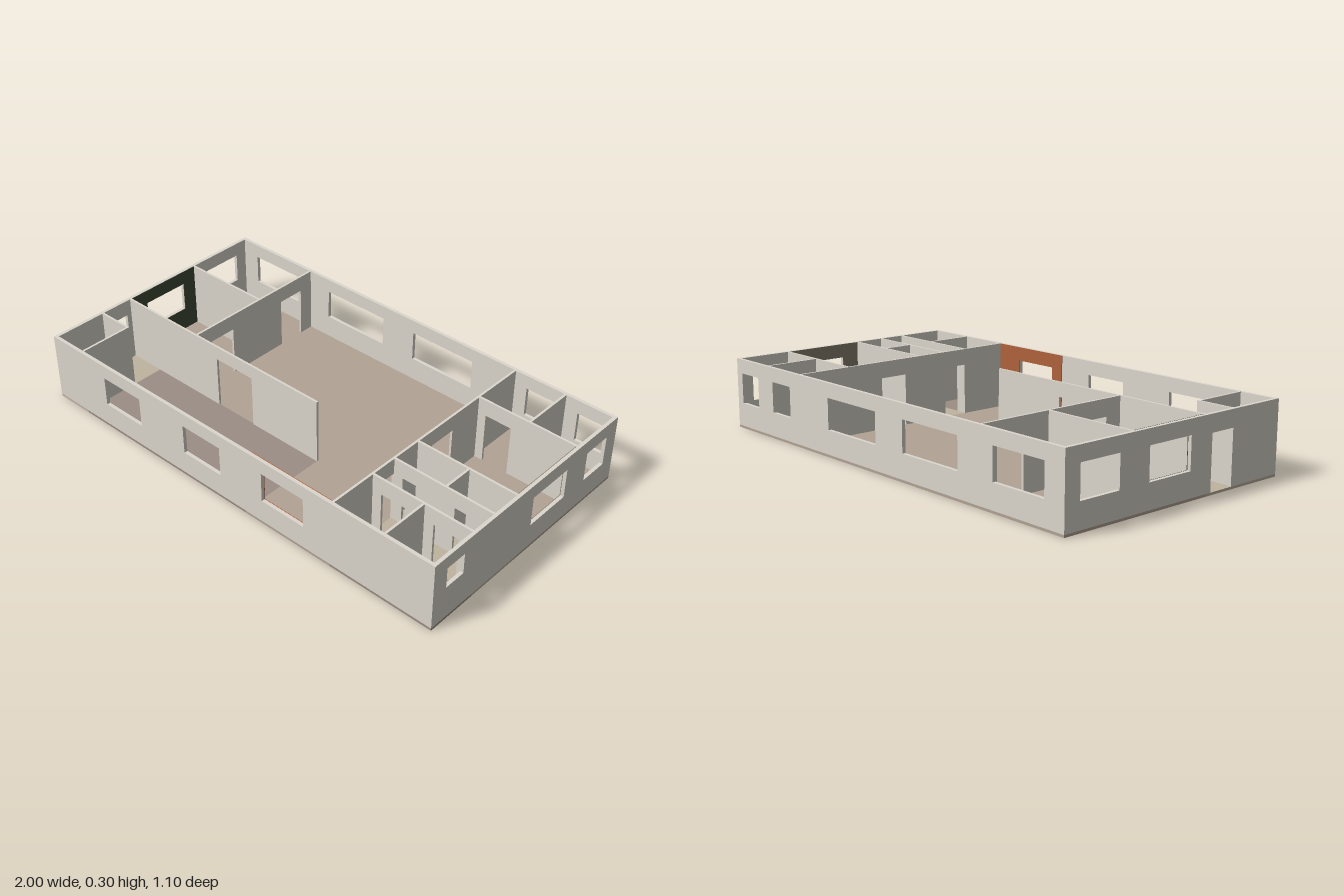
import * as THREE from 'three';

const FLOOR = 0.01, TOP = 0.3, DOOR = 0.23;
const OUT = 0.015, IN = 0.01; // outer and inner wall thickness

const paint = (color) => new THREE.MeshStandardMaterial({ color });
const wallPaint = paint(0xddd8ce);
const wood = paint(0xb3a396);
const tile = paint(0x9c8e85);
const pale = paint(0xc0b3a1);

// Openings are [from, to, bottom, top]; a bottom at floor level makes a doorway.
const door = (a, b, top = DOOR) => [a, b, FLOOR, top];
const win = (a, b, bottom = 0.11, top = 0.24) => [a, b, bottom, top];

// Upright panel from a to b along an axis, centred at the offset on the other axis
function wall(name, axis, a, b, offset, thickness, openings = [], material = wallPaint) {
  const shape = new THREE.Shape();
  shape.moveTo(a, FLOOR);
  const sorted = [...openings].sort((p, q) => p[0] - q[0]);
  for (const [u0, u1, y0, y1] of sorted) {
    if (y0 <= FLOOR) {
      shape.lineTo(u0, FLOOR);
      shape.lineTo(u0, y1);
      shape.lineTo(u1, y1);
      shape.lineTo(u1, FLOOR);
    } else {
      const hole = new THREE.Path();
      hole.moveTo(u0, y0);
      hole.lineTo(u0, y1);
      hole.lineTo(u1, y1);
      hole.lineTo(u1, y0);
      hole.closePath();
      shape.holes.push(hole);
    }
  }
  shape.lineTo(b, FLOOR);
  shape.lineTo(b, TOP);
  shape.lineTo(a, TOP);
  shape.closePath();
  const geometry = new THREE.ExtrudeGeometry(shape, { depth: thickness, bevelEnabled: false });
  geometry.translate(0, 0, -thickness / 2);
  if (axis === 'z') geometry.rotateY(-Math.PI / 2);
  geometry.translate(axis === 'z' ? offset : 0, 0, axis === 'z' ? 0 : offset);
  const mesh = new THREE.Mesh(geometry, material);
  mesh.name = name;
  return mesh;
}

function slab(name, x0, x1, z0, z1, material) {
  const mesh = new THREE.Mesh(new THREE.BoxGeometry(x1 - x0, FLOOR, z1 - z0), material);
  mesh.position.set((x0 + x1) / 2, FLOOR / 2, (z0 + z1) / 2);
  mesh.name = name;
  return mesh;
}

export function createModel() {
  const house = new THREE.Group();
  house.name = 'floorPlanHouse';

  // Floors, one slab for each covering
  const floors = new THREE.Group();
  floors.name = 'floors';
  floors.add(
    slab('backFloor', -1, 0.53, -0.55, 0.15, wood),
    slab('livingFloor', 0.1, 0.53, 0.15, 0.55, wood),
    slab('masterFloor', 0.53, 1, -0.55, 0.07, wood),
    slab('kitchenFloor', -0.825, 0.1, 0.15, 0.55, tile),
    slab('entryFloor', -1, -0.825, 0.15, 0.55, pale),
    slab('corridorFloor', 0.53, 1, 0.07, 0.325, pale),
    slab('smallRoomsFloor', 0.53, 1, 0.325, 0.55, tile),
  );

  // Outer walls
  const frontWindows = [win(-0.69, -0.48), win(-0.23, -0.03), win(0.19, 0.4)];
  const backWindows = [win(-0.905, -0.65), win(-0.465, -0.15), win(0.015, 0.325),
    win(0.595, 0.725), win(0.835, 0.962)];
  const leftWindows = [win(-0.485, -0.355), win(-0.225, -0.015), win(0.385, 0.48, 0.155, 0.245)];
  const rightOpenings = [win(-0.48, -0.295), win(-0.15, 0.063), door(0.175, 0.29)];
  const outer = new THREE.Group();
  outer.name = 'outerWalls';
  const ex = 1 - OUT, ez = 0.55 - OUT / 2;
  outer.add(
    wall('frontWall', 'x', -ex, ex, ez, OUT, frontWindows),
    wall('backWall', 'x', -ex, ex, -ez, OUT, backWindows),
    wall('leftWall', 'z', -0.55, 0.55, 1 - OUT / 2, OUT, leftWindows),
    wall('rightWall', 'z', -0.55, 0.55, -1 + OUT / 2, OUT, rightOpenings),
  );

  // Partitions
  const inner = new THREE.Group();
  inner.name = 'partitions';
  const iz = 0.55 - OUT;
  const smallDoors = [door(0.58, 0.69), door(0.82, 0.93)];
  inner.add(
    wall('bedroomHallWall', 'z', -iz, 0.143, -0.578, IN, [door(-0.47, -0.345), door(-0.055, 0.07)]),
    wall('bedroomDivider', 'x', -ex, -0.583, -0.22, IN),
    wall('kitchenWall', 'x', -ex, 0.1, 0.148, IN, [door(-0.455, -0.255, 0.24)]),
    wall('entryClosetWall', 'x', -ex, -0.825, 0.3, IN),
    wall('entryClosetSide', 'z', 0.305, iz, -0.83, IN),
    wall('wingWall', 'z', -iz, iz, 0.533, IN, [door(-0.135, -0.01), door(0.21, 0.32)]),
    wall('masterBackWall', 'x', 0.538, ex, -0.3, IN, [door(0.575, 0.695)]),
    wall('masterFrontWall', 'x', 0.538, ex, 0.07, IN),
    wall('corridorBackWall', 'x', 0.538, ex, 0.205, IN, smallDoors),
    wall('corridorFrontWall', 'x', 0.538, ex, 0.325, IN, smallDoors),
  );
  for (const [a, b] of [[-iz, -0.305], [0.075, 0.2], [0.33, iz]])
    inner.add(wall('roomDivider', 'z', a, b, 0.772, IN));

  // Painted inner faces
  const accents = new THREE.Group();
  accents.name = 'accentPanels';
  const T = 0.003;
  accents.add(
    wall('orangePanel', 'x', 0.13, 0.528, iz - T / 2, T, [frontWindows[2]], paint(0xb0623c)),
    wall('greenPanel', 'z', -0.215, 0.143, -ex + T / 2, T, [rightOpenings[1]], paint(0x3f4b36)),
    wall('taupePanel', 'z', -0.295, 0.065, ex - T / 2, T, [leftWindows[1]], paint(0x8c8270)),
  );

  house.add(floors, outer, inner, accents);
  return house;
}
